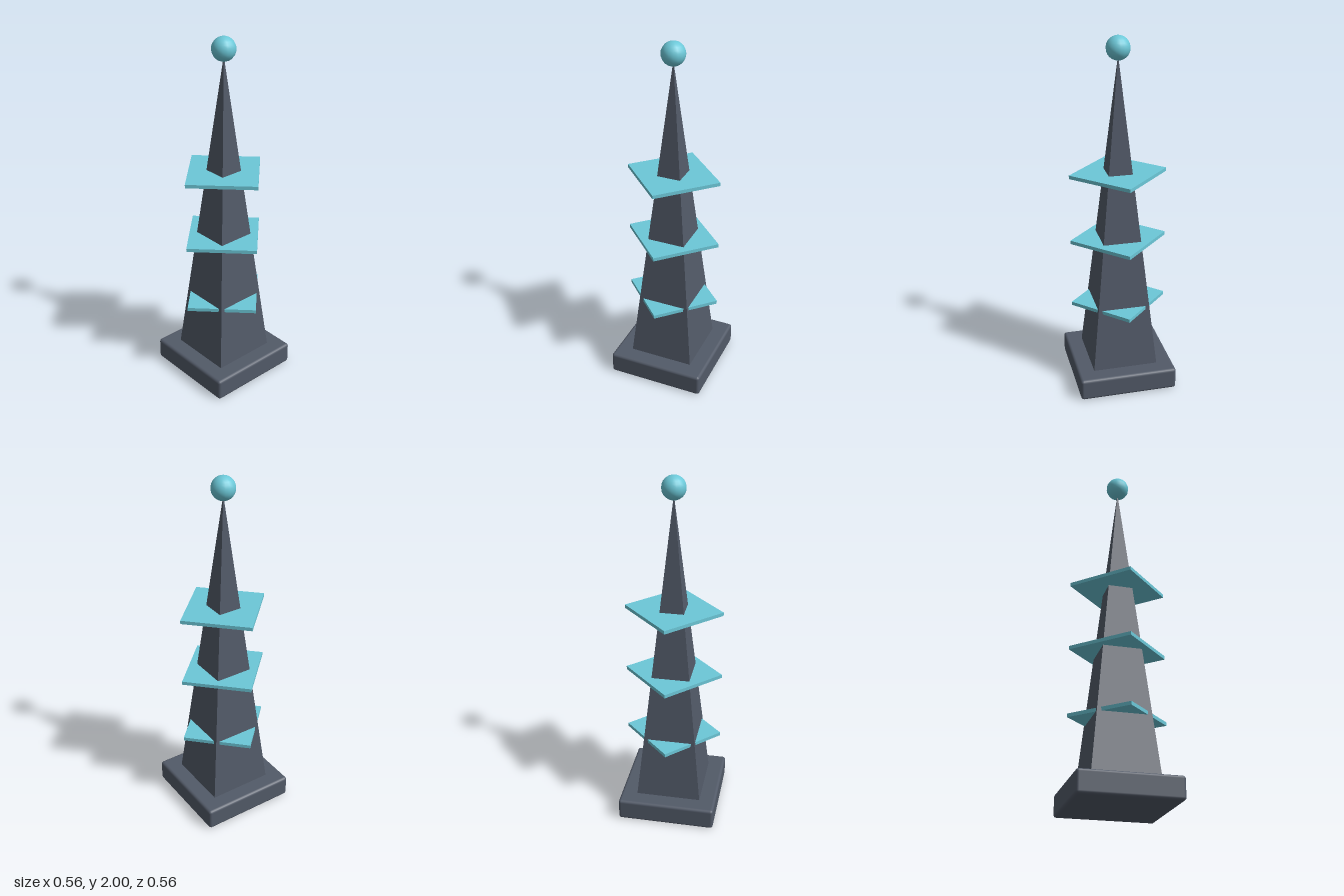
import * as THREE from 'three';
import { RoundedBoxGeometry } from 'three/addons/geometries/RoundedBoxGeometry.js';

export function createModel() {
  const model = new THREE.Group();
  model.name = 'spire';

  const slate = new THREE.MeshStandardMaterial({ color: 0x525a68 });
  slate.name = 'slate';
  const cyan = new THREE.MeshStandardMaterial({ color: 0x6cc8d8 });
  cyan.name = 'cyan';

  const add = (name, geometry, material, y) => {
    const mesh = new THREE.Mesh(geometry, material);
    mesh.name = name;
    mesh.position.y = y;
    model.add(mesh);
    return mesh;
  };

  // Square plinth with softened edges
  add('plinth', new RoundedBoxGeometry(0.555, 0.125, 0.555, 2, 0.016), slate, 0.0625);

  // Four-sided obelisk, flat sides facing the axes; its tip sits inside the ball
  const bottom = 0.125, tip = 1.9, half = 0.184;
  const obelisk = new THREE.ConeGeometry(half * Math.SQRT2, tip - bottom, 4, 1)
    .rotateY(Math.PI / 4).toNonIndexed();
  obelisk.computeVertexNormals();
  add('obelisk', obelisk, slate, (bottom + tip) / 2);

  // Thin square plates turned to a diamond
  const side = 0.272 * Math.SQRT2;
  const plate = new THREE.BoxGeometry(side, 0.02, side).rotateY(Math.PI / 4);
  [0.478, 0.864, 1.25].forEach((y, i) => add(`plate${i + 1}`, plate, cyan, y));

  // Ball finial
  add('finial', new THREE.SphereGeometry(0.065, 16, 12), cyan, 1.935);

  return model;
}
